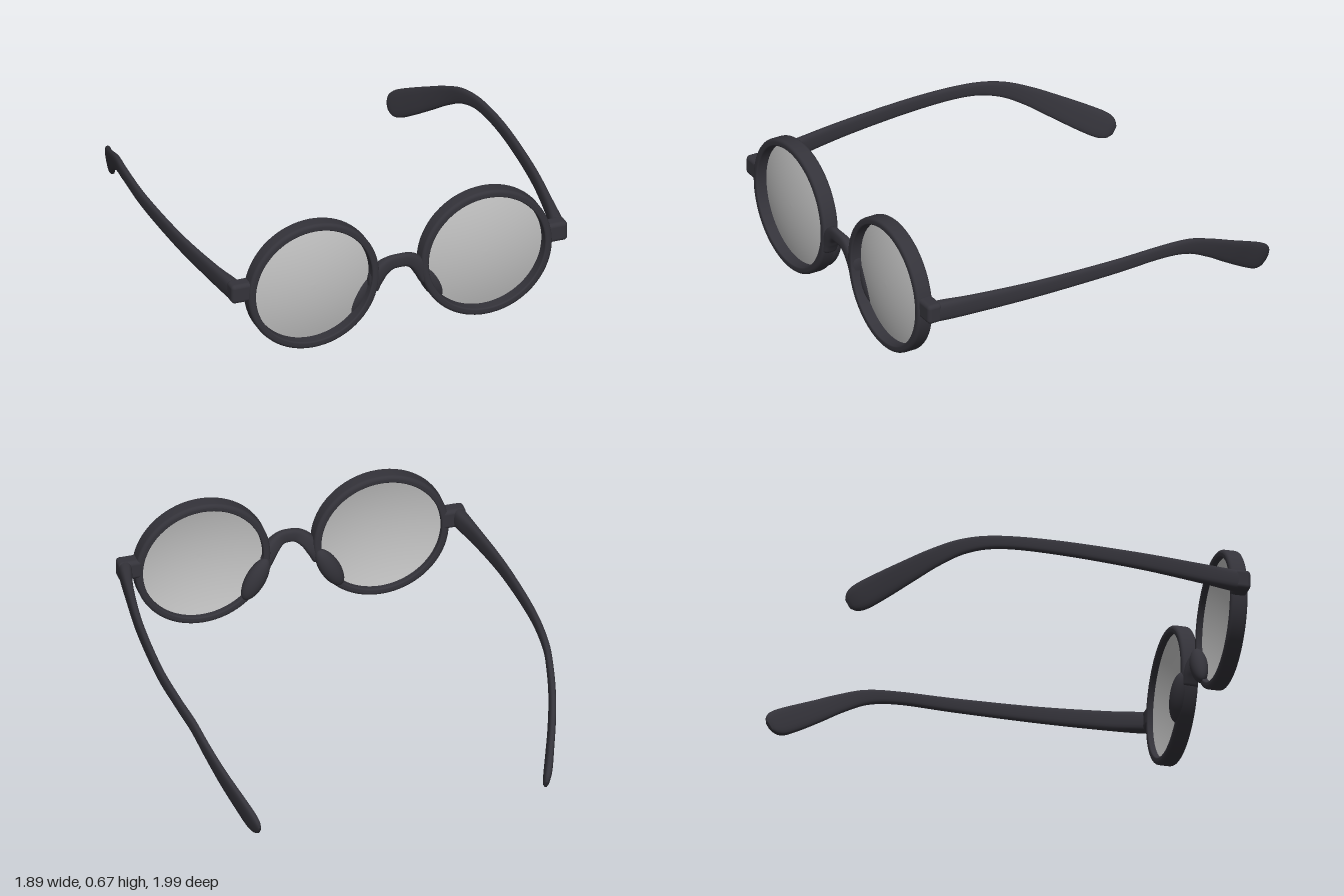
import * as THREE from 'three';
import { RoundedBoxGeometry } from 'three/addons/geometries/RoundedBoxGeometry.js';

// Sweeps a rounded section along points [x, y, z, halfHeight, halfThickness];
// thickness is measured along the hint axis.
function loft(points, hint, steps = 60, sides = 20) {
  const path = new THREE.CatmullRomCurve3(points.map(p => new THREE.Vector3(p[0], p[1], p[2])), false, 'catmullrom');
  const size = new THREE.CatmullRomCurve3(points.map(p => new THREE.Vector3(p[3], p[4], 0)), false, 'catmullrom');
  const pos = [], index = [];
  const soft = v => Math.sign(v) * Math.pow(Math.abs(v), 0.7);
  for (let i = 0; i <= steps; i++) {
    const t = i / steps;
    const c = path.getPoint(t), s = size.getPoint(t), dir = path.getTangent(t);
    const side = hint.clone().addScaledVector(dir, -hint.dot(dir)).normalize();
    const up = dir.clone().cross(side);
    for (let j = 0; j < sides; j++) {
      const a = j / sides * Math.PI * 2;
      const v = c.clone().addScaledVector(side, soft(Math.cos(a)) * s.y).addScaledVector(up, soft(Math.sin(a)) * s.x);
      pos.push(v.x, v.y, v.z);
    }
  }
  for (let i = 0; i < steps; i++) {
    for (let j = 0; j < sides; j++) {
      const a = i * sides + j, b = i * sides + (j + 1) % sides;
      index.push(a, b, a + sides, b, b + sides, a + sides);
    }
  }
  // end caps
  const last = steps * sides;
  for (let j = 1; j < sides - 1; j++) {
    index.push(0, j + 1, j, last, last + j, last + j + 1);
  }
  const geo = new THREE.BufferGeometry();
  geo.setAttribute('position', new THREE.Float32BufferAttribute(pos, 3));
  geo.setIndex(index);
  geo.computeVertexNormals();
  return geo;
}

// Closed ring section with rounded corners, turned to face +z
function rimGeometry() {
  const r0 = 0.3, r1 = 0.337, z0 = 0.903, z1 = 0.987, pts = [];
  const corner = (r, z, rad, start) => {
    for (let k = 0; k <= 4; k++) {
      const a = start + k / 4 * Math.PI / 2;
      pts.push(new THREE.Vector2(r + rad * Math.cos(a), z + rad * Math.sin(a)));
    }
  };
  const o = 0.016, n = 0.008;
  corner(r1 - o, z0 + o, o, -Math.PI / 2);
  corner(r1 - o, z1 - o, o, 0);
  corner(r0 + n, z1 - n, n, Math.PI / 2);
  corner(r0 + n, z0 + n, n, Math.PI);
  pts.push(pts[0].clone());
  return new THREE.LatheGeometry(pts, 72).rotateX(Math.PI / 2);
}

// Shallow dome bulging forward
function lensGeometry() {
  const pts = [];
  for (let k = 0; k <= 10; k++) {
    const r = 0.305 * (1 - k / 10);
    pts.push(new THREE.Vector2(r, 0.97 - 0.04 * (r / 0.305) ** 2));
  }
  return new THREE.LatheGeometry(pts, 72).rotateX(Math.PI / 2);
}

export function createModel() {
  const model = new THREE.Group();
  model.name = 'roundGlasses';
  const frame = new THREE.MeshStandardMaterial({ color: 0x34333a });
  frame.name = 'charcoalFrame';
  const glass = new THREE.MeshStandardMaterial({ color: 0xc2c2c2, side: THREE.DoubleSide });
  glass.name = 'greyLens';

  const add = (name, geo, mat, x = 0, y = 0, z = 0) => {
    const mesh = new THREE.Mesh(geo, mat);
    mesh.name = name;
    mesh.position.set(x, y, z);
    model.add(mesh);
    return mesh;
  };

  for (const [s, label] of [[1, 'left'], [-1, 'right']]) {
    add(label + 'Rim', rimGeometry(), frame, s * 0.445, 0.34, 0);
    add(label + 'Lens', lensGeometry(), glass, s * 0.445, 0.34, 0);
    add(label + 'EndPiece', new RoundedBoxGeometry(0.12, 0.1, 0.078, 4, 0.02), frame, s * 0.806, 0.37, 0.939);

    // nose pad hugging the inner lower rim
    const pad = add(label + 'NosePad', new THREE.SphereGeometry(1, 28, 18), frame, s * 0.185, 0.21, 0.905);
    pad.scale.set(0.05, 0.12, 0.043);
    pad.rotation.z = s * 0.49;

    // temple arm, bending down into a wide flat tip
    const arm = [
      [0.832, 0.368, 0.965, 0.044, 0.028],
      [0.836, 0.368, 0.9, 0.052, 0.032],
      [0.866, 0.371, 0.73, 0.049, 0.022],
      [0.908, 0.38, 0.4, 0.042, 0.017],
      [0.928, 0.389, 0, 0.036, 0.016],
      [0.916, 0.388, -0.28, 0.033, 0.016],
      [0.89, 0.36, -0.45, 0.038, 0.016],
      [0.86, 0.297, -0.59, 0.047, 0.016],
      [0.82, 0.221, -0.72, 0.058, 0.017],
      [0.775, 0.15, -0.84, 0.067, 0.018],
      [0.742, 0.1, -0.925, 0.068, 0.019],
      [0.724, 0.076, -0.965, 0.053, 0.016],
      [0.715, 0.064, -0.985, 0.025, 0.008],
    ].map(p => [s * p[0], ...p.slice(1)]);
    add(label + 'Temple', loft(arm, new THREE.Vector3(1, 0, 0), 84), frame);
  }

  // arched bridge, thin at the middle and flaring into the rims
  const half = [
    [0.045, 0.38, 0.966, 0.035, 0.022],
    [0.085, 0.352, 0.955, 0.037, 0.032],
    [0.115, 0.307, 0.947, 0.038, 0.037],
    [0.13, 0.25, 0.945, 0.024, 0.036],
  ];
  const bridge = [
    ...half.map(p => [-p[0], ...p.slice(1)]).reverse(),
    [0, 0.386, 0.97, 0.034, 0.02],
    ...half,
  ];
  add('bridge', loft(bridge, new THREE.Vector3(0, 0, 1), 48), frame);

  return model;
}
